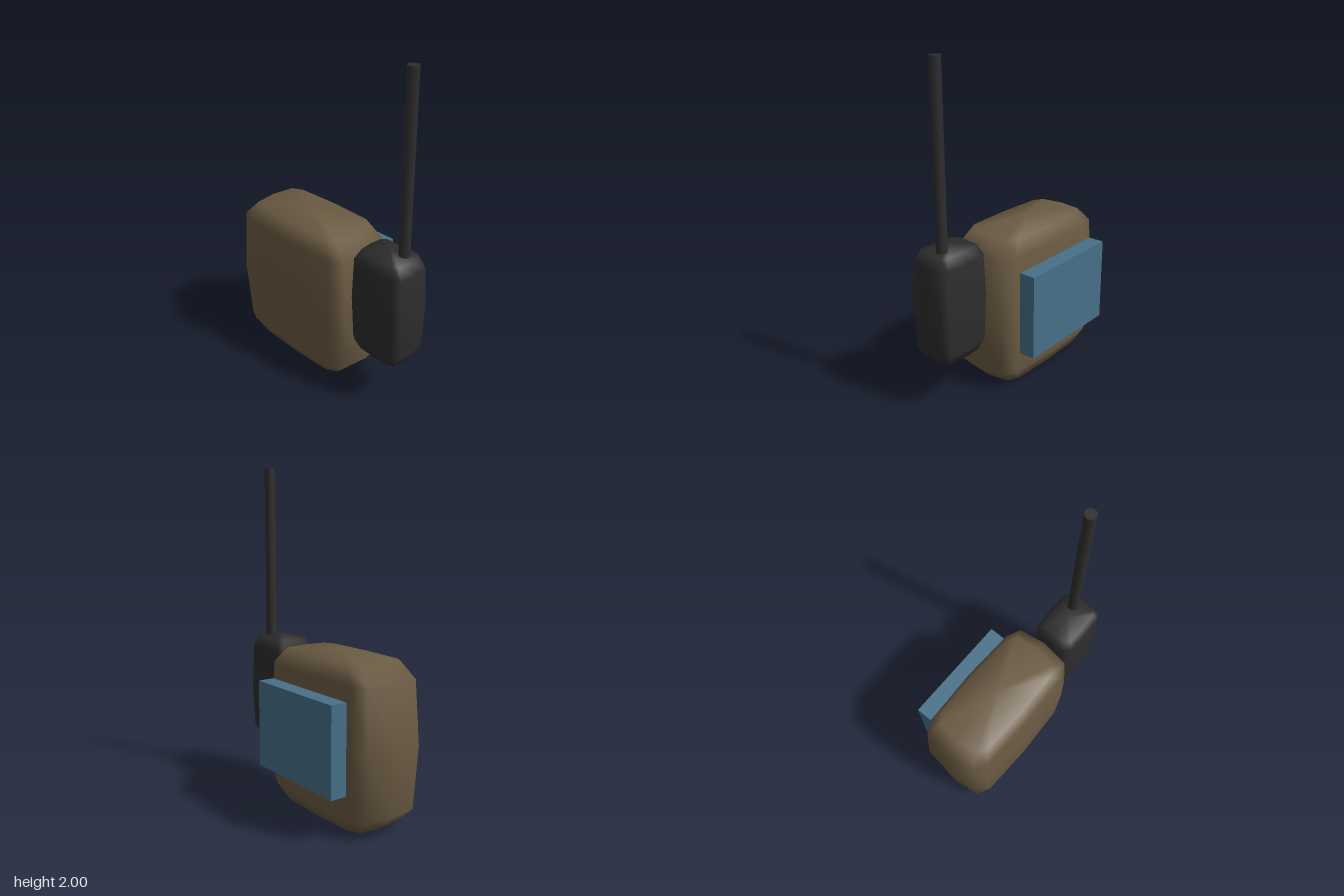
import * as THREE from 'three';
import { mergeVertices } from 'three/addons/utils/BufferGeometryUtils.js';

const mat = (name, color) => {
  const m = new THREE.MeshStandardMaterial({ color });
  m.name = name;
  return m;
};

// Boxy rounded cushion: a coarse sphere pushed outwards towards its bounding box
function cushion(halfX, halfY, halfZ, power = 0.4) {
  let g = new THREE.SphereGeometry(1, 12, 6);
  g.deleteAttribute('uv');
  g.deleteAttribute('normal');
  const p = g.attributes.position;
  const push = (v) => (Math.abs(v) < 1e-6 ? 0 : Math.sign(v) * Math.abs(v) ** power);
  for (let i = 0; i < p.count; i++) {
    p.setXYZ(i, push(p.getX(i)) * halfX, push(p.getY(i)) * halfY, push(p.getZ(i)) * halfZ);
  }
  g = mergeVertices(g, 1e-4);
  g.computeVertexNormals();
  return g;
}

export function createModel() {
  const group = new THREE.Group();
  group.name = 'radioBackpack';
  const canvas = mat('brownCanvas', 0x6b5b43);
  const black = mat('blackPlastic', 0x2d2d2d);
  const blue = mat('bluePanel', 0x467089);

  const add = (name, geometry, material, x, y, z) => {
    const mesh = new THREE.Mesh(geometry, material);
    mesh.name = name;
    mesh.position.set(x, y, z);
    group.add(mesh);
  };

  // Main bag
  add('bag', cushion(0.48, 0.487, 0.239), canvas, -0.175, 0.487, 0.046);
  // Radio on the side with its aerial
  add('radio', cushion(0.19, 0.342, 0.141), black, 0.463, 0.632, 0.073);
  add('aerial', new THREE.CylinderGeometry(0.033, 0.033, 1.3, 12), black, 0.54, 1.35, 0.045);
  // Flat panel on the back
  add('backPanel', new THREE.BoxGeometry(0.685, 0.514, 0.1), blue, -0.173, 0.517, -0.241);
  return group;
}
